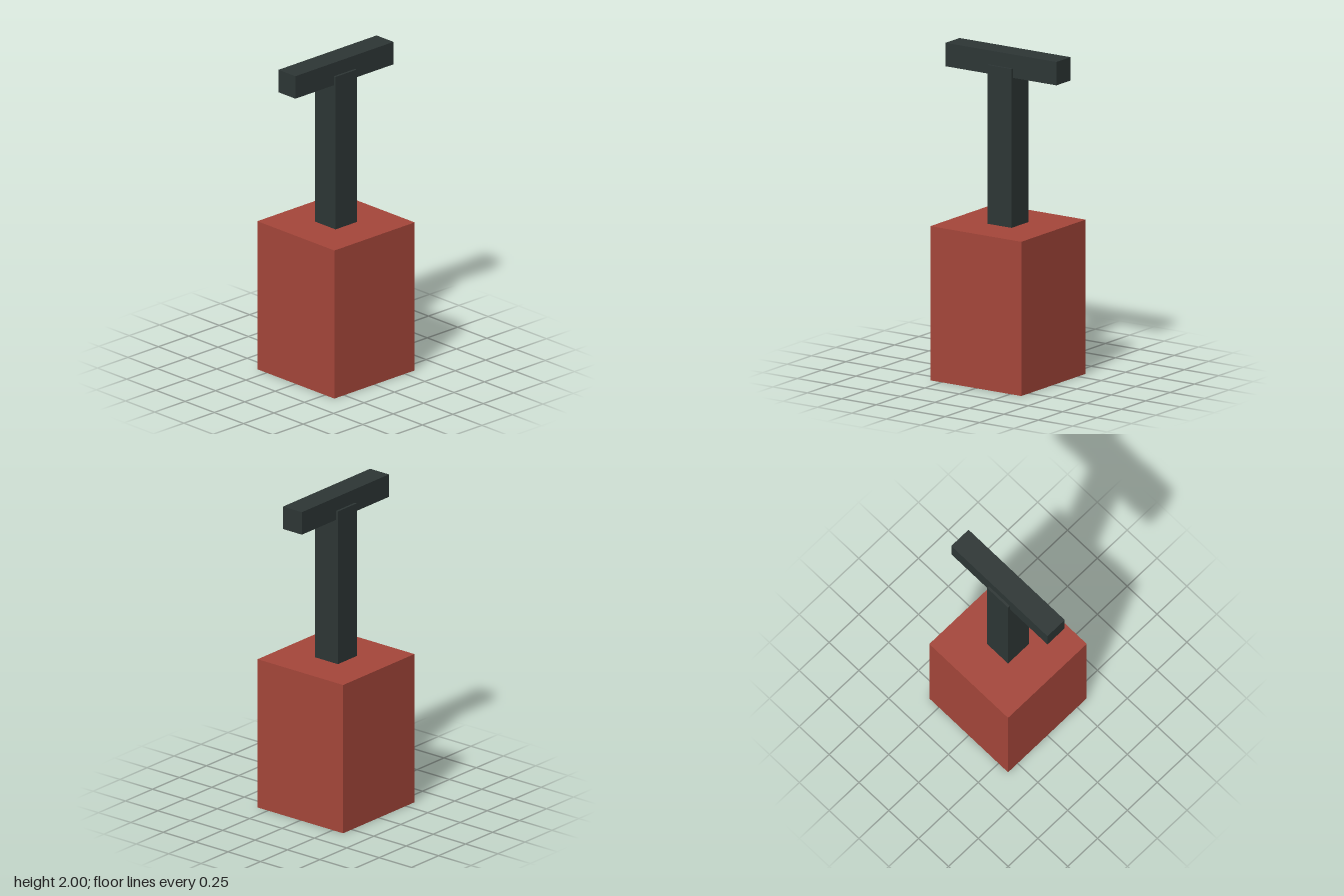
import * as THREE from 'three';

const red = new THREE.MeshStandardMaterial({ color: 0xa5463a });
red.name = 'brickRed';
const dark = new THREE.MeshStandardMaterial({ color: 0x2d3635 });
dark.name = 'darkSlate';

// Box centred on the vertical axis, spanning y0 to y1
function block(name, width, depth, y0, y1, material) {
  const mesh = new THREE.Mesh(new THREE.BoxGeometry(width, y1 - y0, depth), material);
  mesh.name = name;
  mesh.position.y = (y0 + y1) / 2;
  return mesh;
}

export function createModel() {
  const model = new THREE.Group();
  model.name = 'plungerBox';
  model.add(
    block('body', 0.66, 0.66, 0, 0.943, red),
    block('shaft', 0.175, 0.175, 0.943, 1.914, dark),
    // Crossbar is slightly thinner than the shaft it sits on
    block('handleBar', 0.806, 0.145, 1.857, 2, dark)
  );
  return model;
}
